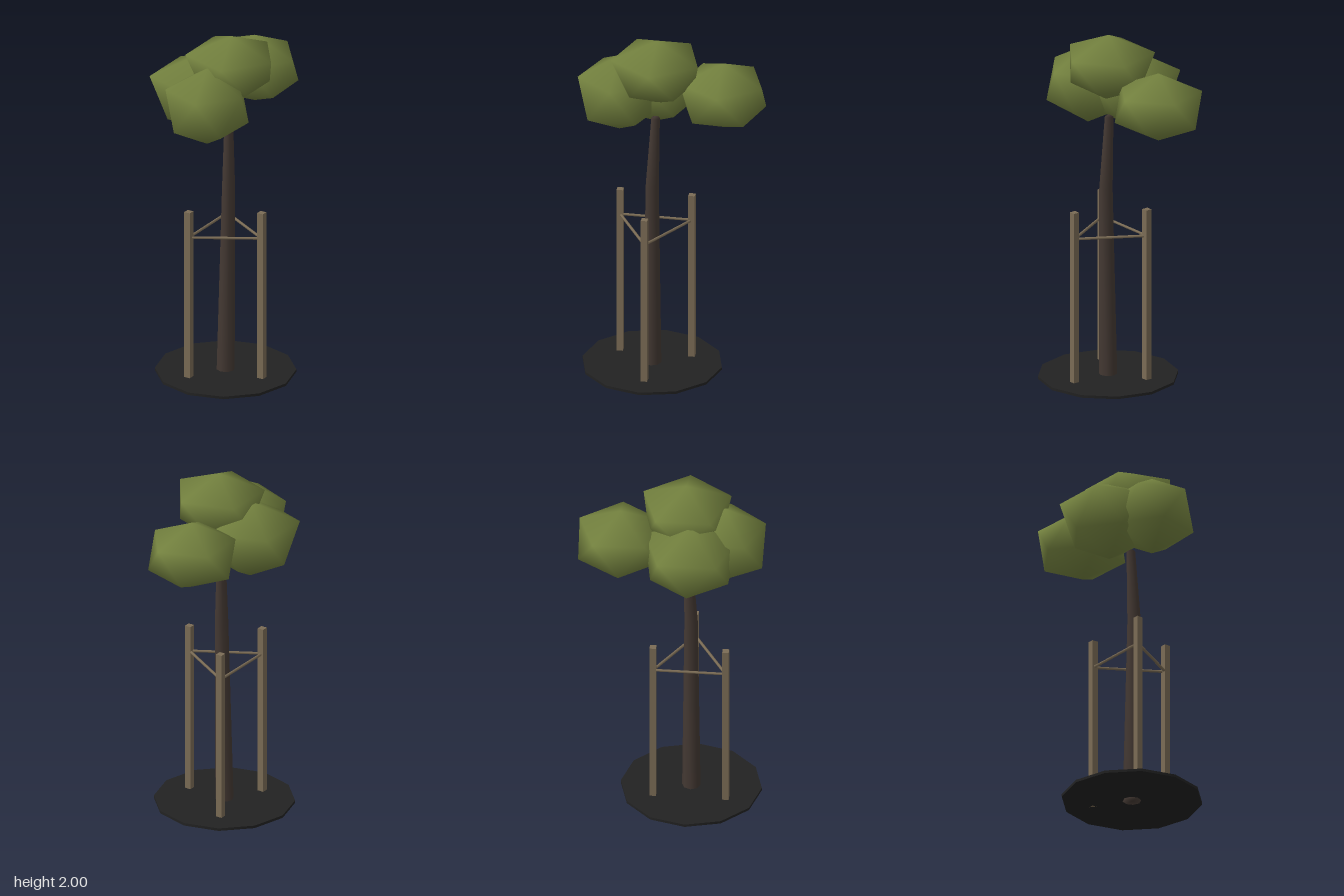
import * as THREE from 'three';

const mat = (name, color) => Object.assign(new THREE.MeshStandardMaterial({ color }), { name });

// Closed smooth loft from top to bottom. Rings: [x, y, z, radius, twist in degrees]
function loft(top, rings, bottom, sides) {
  const pos = [...top];
  const index = [];
  for (const [x, y, z, r, twist = 0] of rings) {
    for (let i = 0; i < sides; i++) {
      const a = THREE.MathUtils.degToRad(twist) + (i / sides) * Math.PI * 2;
      pos.push(x + Math.cos(a) * r, y, z + Math.sin(a) * r);
    }
  }
  pos.push(...bottom);
  const last = pos.length / 3 - 1;
  const at = (k, i) => 1 + k * sides + (i % sides);
  for (let i = 0; i < sides; i++) {
    index.push(0, at(0, i + 1), at(0, i));
    for (let k = 0; k < rings.length - 1; k++) {
      index.push(at(k, i), at(k, i + 1), at(k + 1, i));
      index.push(at(k + 1, i), at(k, i + 1), at(k + 1, i + 1));
    }
    index.push(at(rings.length - 1, i), at(rings.length - 1, i + 1), last);
  }
  const geo = new THREE.BufferGeometry();
  geo.setAttribute('position', new THREE.Float32BufferAttribute(pos, 3));
  geo.setIndex(index);
  geo.computeVertexNormals();
  return geo;
}

// Twenty-faced leaf clump with a pole at top and bottom
function clump(x, y, z, r, h, twist, lower) {
  return loft([x, y + h, z],
    [[x, y + h * 0.45, z, r, twist], [x, y - h * 0.45, z, r * lower, twist + 36]],
    [x, y - h, z], 5);
}

export function createModel() {
  const model = new THREE.Group();
  model.name = 'stakedTree';
  const leaf = mat('leafGreen', 0x74823f);
  const bark = mat('darkBark', 0x443933);
  const wood = mat('stakeWood', 0x7b6c55);
  const soil = mat('darkSoil', 0x222222);
  const add = (name, geo, material, parent = model) => {
    const mesh = new THREE.Mesh(geo, material);
    mesh.name = name;
    parent.add(mesh);
    return mesh;
  };

  // Soil disc
  add('soilDisc', new THREE.CylinderGeometry(0.388, 0.388, 0.015, 12), soil).position.set(0, 0.0125, 0.1);

  // Bent trunk
  add('trunk', loft([0.008, 1.535, 0.08],
    [[0.008, 1.52, 0.08, 0.024], [0.017, 1.1, 0.097, 0.037], [0, 0.003, 0.1, 0.051]],
    [0, 0.003, 0.1], 8), bark);

  // Three stakes around the trunk, joined by thin rails
  const support = new THREE.Group();
  support.name = 'support';
  model.add(support);
  const feet = [0, 120, 240].map((deg) => {
    const a = THREE.MathUtils.degToRad(deg);
    return new THREE.Vector3(0.002 + Math.cos(a) * 0.231, 0.85, 0.1 + Math.sin(a) * 0.231);
  });
  feet.forEach((p, i) => {
    add('stake', new THREE.BoxGeometry(0.036, 1, 0.036), wood, support).position.set(p.x, 0.505, p.z);
    const q = feet[(i + 1) % 3];
    const rail = add('rail', new THREE.CylinderGeometry(0.008, 0.008, p.distanceTo(q), 6), wood, support);
    rail.position.lerpVectors(p, q, 0.5);
    rail.quaternion.setFromUnitVectors(new THREE.Vector3(0, 1, 0), q.clone().sub(p).normalize());
  });

  // Crown of four clumps
  const crown = new THREE.Group();
  crown.name = 'crown';
  model.add(crown);
  add('topClump', clump(0.02, 1.81, 0.07, 0.255, 0.19, 0, 0.82), leaf, crown);
  add('frontClump', clump(-0.005, 1.655, 0.285, 0.228, 0.225, 75, 1), leaf, crown);
  add('sideClump', clump(-0.165, 1.64, 0.11, 0.272, 0.225, 0, 0.83), leaf, crown);
  add('backClump', clump(-0.05, 1.665, -0.285, 0.24, 0.195, -74, 1), leaf, crown);
  return model;
}
